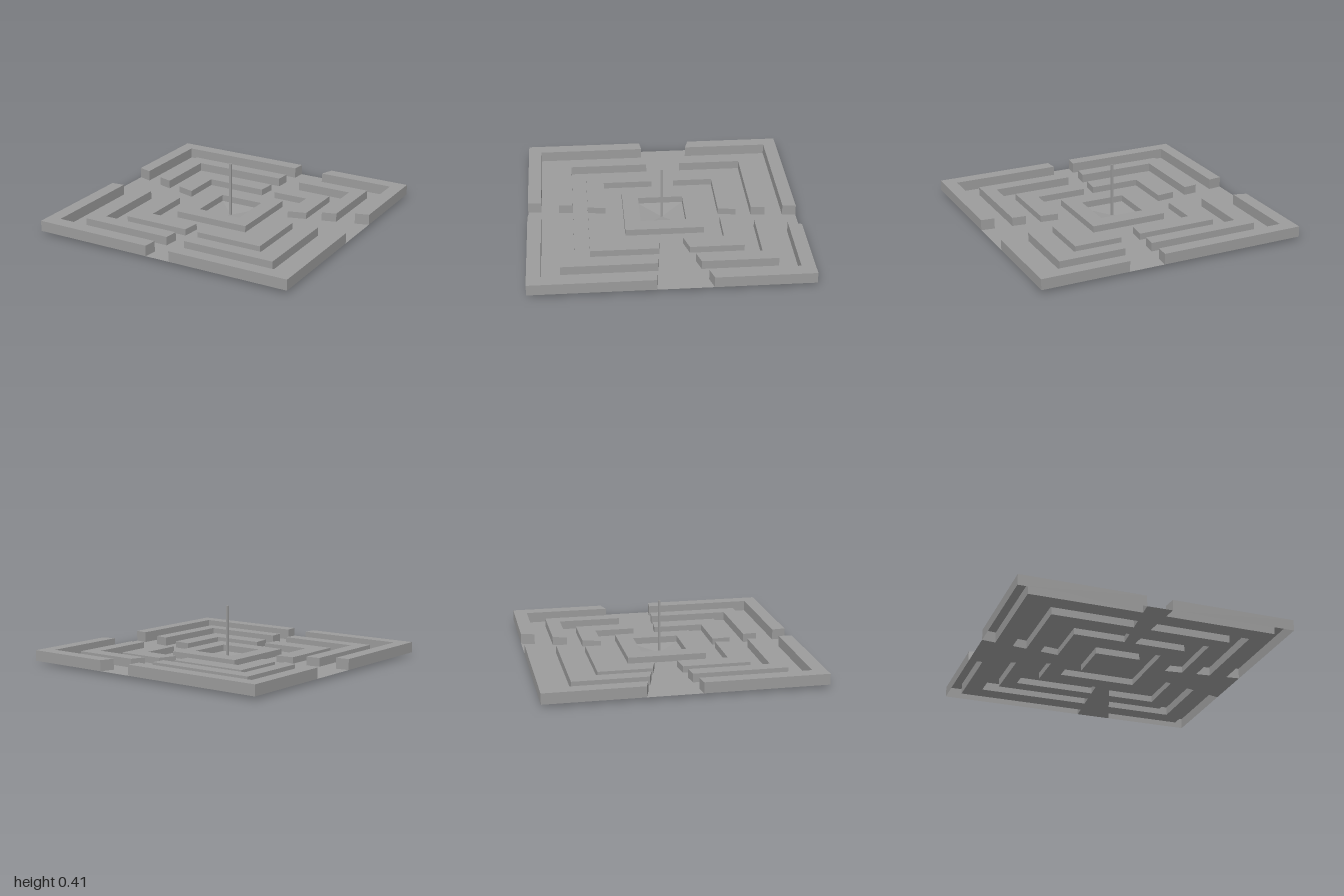
import * as THREE from 'three';

const BASE = 0.023;
const material = new THREE.MeshStandardMaterial({ color: 0x9b9b9b, side: THREE.DoubleSide, flatShading: true });

// Points are [x, z] pairs; shapes are drawn in the (x, -z) plane and laid flat.
const toVectors = (points) => points.map(([x, z]) => new THREE.Vector2(x, -z));
const square = (r) => [[-r, r], [r, r], [r, -r], [-r, -r]];

function addMesh(group, name, geometry) {
  const mesh = new THREE.Mesh(geometry, material);
  mesh.name = name;
  group.add(mesh);
}

function flatSheet(points, holes, y) {
  const shape = new THREE.Shape(toVectors(points));
  holes.forEach((h) => shape.holes.push(new THREE.Path(toVectors(h))));
  return new THREE.ShapeGeometry(shape).rotateX(-Math.PI / 2).translate(0, y, 0);
}

// Upright band around an outline, facing outward (or inward).
function sideBand(points, y0, y1, inward = false) {
  const outline = toVectors(points);
  if (THREE.ShapeUtils.isClockWise(outline) !== inward) outline.reverse();
  const positions = [];
  outline.forEach((p, i) => {
    const q = outline[(i + 1) % outline.length];
    const a = [p.x, y0, -p.y], b = [q.x, y0, -q.y], c = [q.x, y1, -q.y], d = [p.x, y1, -p.y];
    positions.push(...a, ...b, ...c, ...a, ...c, ...d);
  });
  const geometry = new THREE.BufferGeometry();
  geometry.setAttribute('position', new THREE.Float32BufferAttribute(positions, 3));
  geometry.computeVertexNormals();
  return geometry;
}

// Four quadrants; gap edges run along rays from the centre:
// a is the slope of the front/back gap edge, b of the side gap edge.
const quadrants = [
  { name: 'FrontLeft', sx: 1, sz: 1, a: 0.088, b: 0.107 },
  { name: 'BackLeft', sx: 1, sz: -1, a: 0.352, b: -0.288 },
  { name: 'BackRight', sx: -1, sz: -1, a: 0.088, b: -0.288 },
  { name: 'FrontRight', sx: -1, sz: 1, a: -0.098, b: 0.107 },
];

// Concentric walls: outer radius, inner radius, top height
const rings = [
  { name: 'outerWall', R: 1, r: 0.9, top: 0.102 },
  { name: 'middleWall', R: 0.768, r: 0.664, top: 0.087 },
  { name: 'innerWall', R: 0.553, r: 0.419, top: 0.071 },
];

const wallOutline = ({ sx, sz, a, b }, { R, r }) => [
  [a * R, sz * R], [sx * R, sz * R], [sx * R, b * R],
  [sx * r, b * r], [sx * r, sz * r], [a * r, sz * r],
];

export function createModel() {
  const model = new THREE.Group();
  model.name = 'courtyardMaze';

  // L-shaped walls, hollow underneath
  for (const ring of rings) {
    for (const quadrant of quadrants) {
      const wall = new THREE.Group();
      wall.name = ring.name + quadrant.name;
      const outline = wallOutline(quadrant, ring);
      addMesh(wall, 'wallTop', flatSheet(outline, [], ring.top));
      addMesh(wall, 'wallSides', sideBand(outline, BASE, ring.top));
      model.add(wall);
    }
  }

  // Floor: notched around the outer walls, open under the others
  const floorOutline = quadrants.flatMap((q) => {
    const [p0, , p2, p3, p4, p5] = wallOutline(q, rings[0]);
    const path = [p0, p5, p4, p3, p2];
    return q.sx * q.sz > 0 ? path : path.reverse();
  });
  const kerbOuter = square(0.288), kerbInner = square(0.168), kerbTop = 0.071;
  const holes = rings.slice(1).flatMap((ring) => quadrants.map((q) => wallOutline(q, ring)));
  addMesh(model, 'floor', flatSheet(floorOutline, [...holes, kerbOuter], BASE));

  // Central square kerb
  const kerb = new THREE.Group();
  kerb.name = 'centralKerb';
  addMesh(kerb, 'kerbTop', flatSheet(kerbOuter, [kerbInner], kerbTop));
  addMesh(kerb, 'kerbOuterSides', sideBand(kerbOuter, BASE, kerbTop));
  addMesh(kerb, 'kerbInnerSides', sideBand(kerbInner, BASE, kerbTop, true));
  model.add(kerb);

  // Sunken basin, an inverted shallow pyramid
  const basin = new THREE.ConeGeometry(0.168 * Math.SQRT2, BASE, 4, 1, true);
  basin.rotateY(Math.PI / 4).rotateX(Math.PI).translate(0, BASE / 2, 0);
  addMesh(model, 'basin', basin);

  // Slender central pole
  addMesh(model, 'pole', new THREE.BoxGeometry(0.016, 0.403, 0.016).translate(0, 0.2045, 0));

  return model;
}
